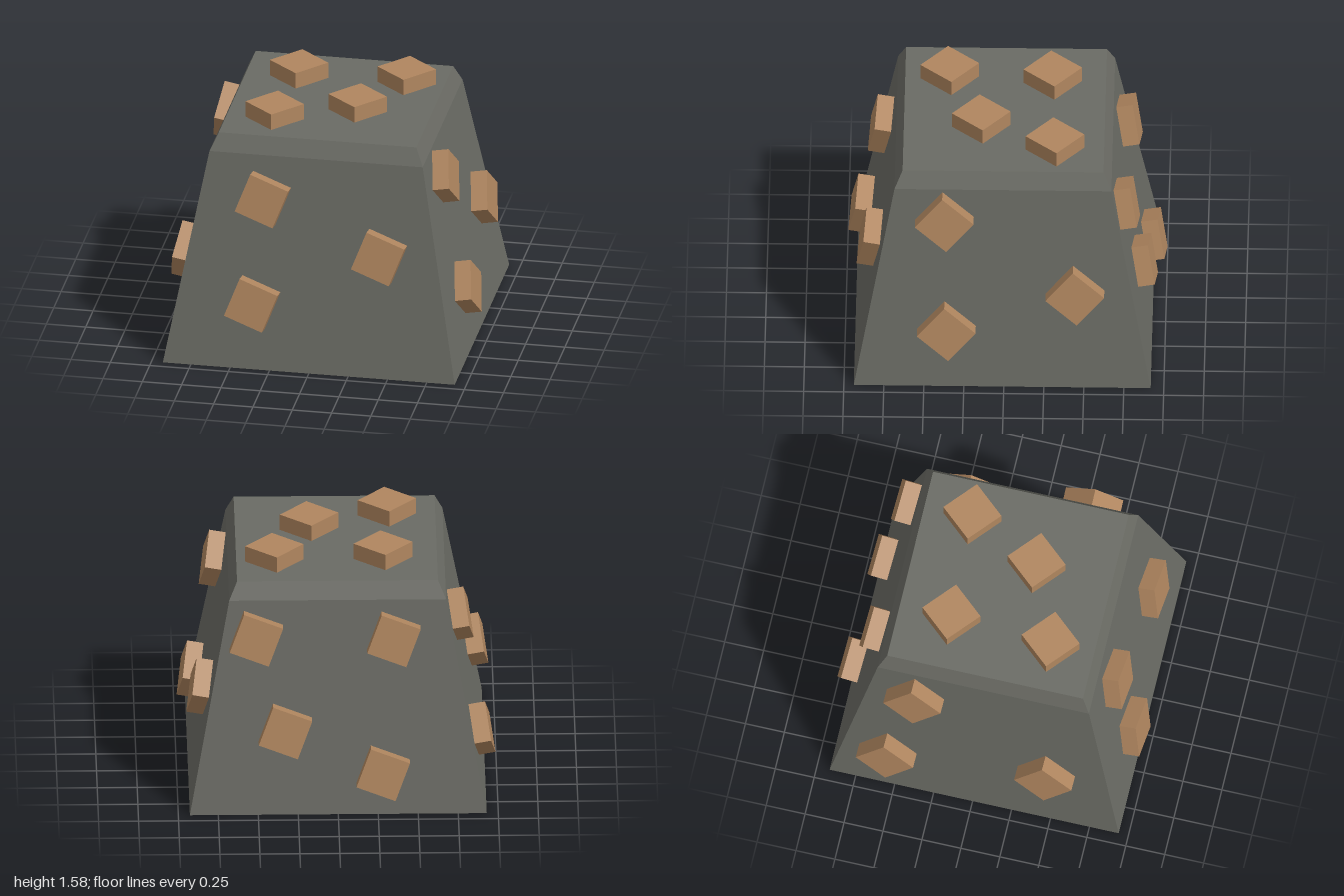
import * as THREE from 'three';

const BASE = 0.928;      // half width at the ground
const SHOULDER = 0.678;  // half width where the chamfer starts
const TOP = 0.628;       // half width of the flat top
const SHOULDER_Y = 1.36;
const TOP_Y = 1.47;
const RAISE = 0.105;     // how far each stud stands out
const DEPTH = 0.14;      // stud thickness, partly sunk into the block

export function createModel() {
  const model = new THREE.Group();
  model.position.z = 0.01;
  const root = new THREE.Group();
  root.add(model);

  const stone = new THREE.MeshStandardMaterial({ color: 0x6a6b64, flatShading: true });
  const wood = new THREE.MeshStandardMaterial({ color: 0xb0865f, flatShading: true });

  // Tapered square block with a chamfered top edge
  const profile = [[0, 0], [BASE, 0], [SHOULDER, SHOULDER_Y], [TOP, TOP_Y], [0, TOP_Y]]
    .map(([half, y]) => new THREE.Vector2(half * Math.SQRT2, y));
  const block = new THREE.Mesh(new THREE.LatheGeometry(profile, 4, Math.PI / 4), stone);
  block.name = 'taperedBlock';
  model.add(block);

  // Square stud with its origin at the centre of the outer face
  const studGeometry = new THREE.BoxGeometry(0.26, 0.26, DEPTH);
  studGeometry.translate(0, 0, -DEPTH / 2);
  const addStud = (parent, x, y, z, tilt, spin) => {
    const stud = new THREE.Mesh(studGeometry, wood);
    stud.name = 'stud';
    stud.position.set(x, y, z);
    stud.rotation.set(-tilt, 0, THREE.MathUtils.degToRad(spin));
    parent.add(stud);
  };

  // Studs on the four sloping sides: [across, height] of each outer face
  const slope = (BASE - SHOULDER) / SHOULDER_Y;
  const tilt = Math.atan(slope);
  const sides = [
    { name: 'frontStuds', yaw: 0, spin: -20.5, at: [[-0.32, 1.11], [0.43, 0.8], [-0.365, 0.445]] },
    { name: 'leftStuds', yaw: Math.PI / 2, spin: -41, at: [[-0.365, 1.18], [-0.35, 0.425], [0.453, 0.68]] },
    { name: 'backStuds', yaw: Math.PI, spin: -20.5, at: [[-0.51, 1.15], [0.35, 1.14], [-0.33, 0.56], [0.28, 0.29]] },
    { name: 'rightStuds', yaw: -Math.PI / 2, spin: -41, at: [[-0.57, 0.43], [-0.425, 1.155], [0.44, 0.575]] },
  ];
  for (const { name, yaw, spin, at } of sides) {
    const side = new THREE.Group();
    side.name = name;
    side.rotation.y = yaw;
    for (const [u, y] of at) {
      addStud(side, u, y, BASE - slope * y + RAISE / Math.cos(tilt), tilt, spin);
    }
    model.add(side);
  }

  // Studs lying on the flat top
  const topStuds = new THREE.Group();
  topStuds.name = 'topStuds';
  for (const [x, z] of [[-0.29, -0.295], [0.39, -0.32], [0.165, 0.145], [-0.325, 0.35]]) {
    addStud(topStuds, x, TOP_Y + RAISE, z, Math.PI / 2, -41);
  }
  model.add(topStuds);

  return root;
}
